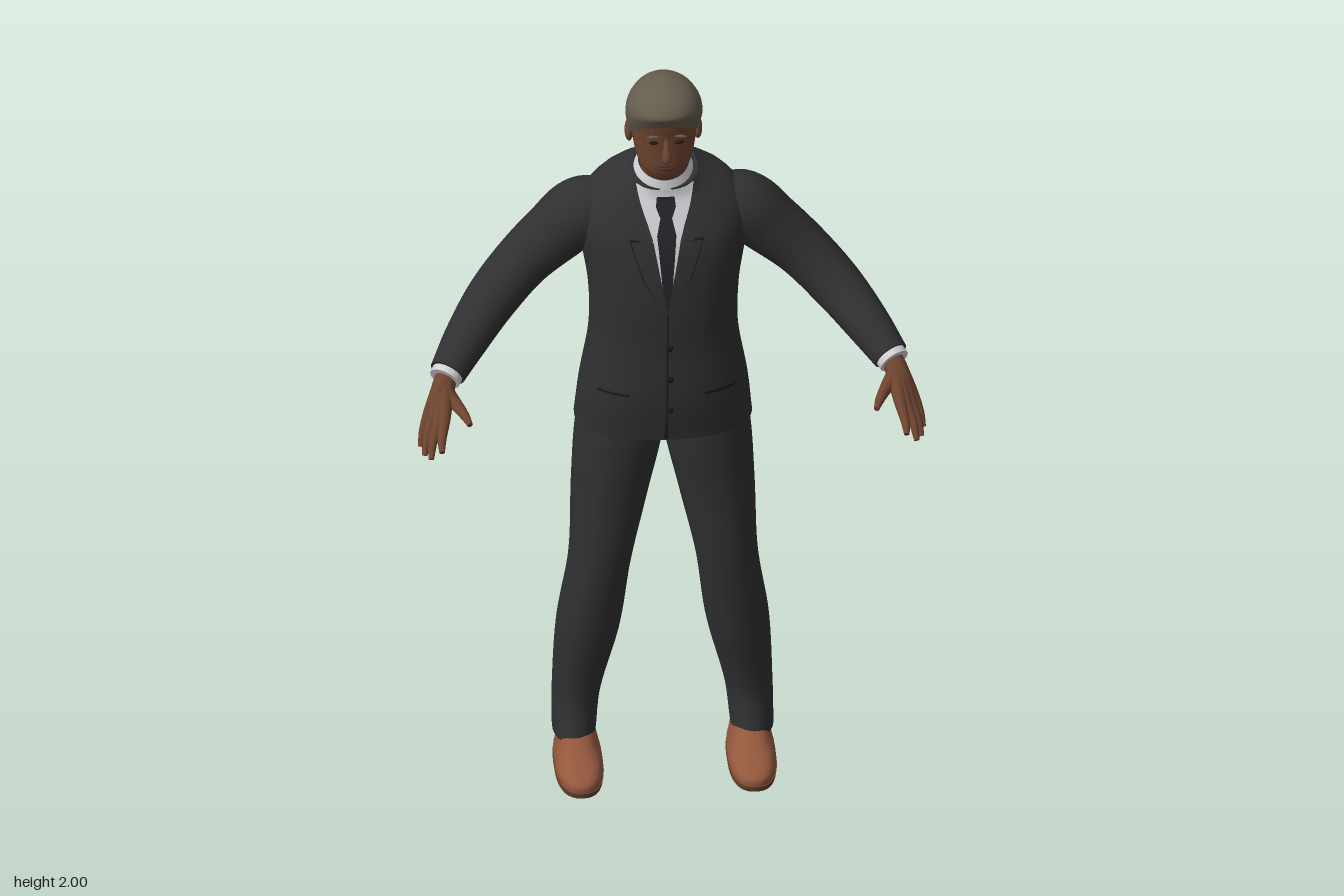
import * as THREE from 'three';

const mat = (name, color, side = THREE.FrontSide) => {
  const m = new THREE.MeshStandardMaterial({ color, side });
  m.name = name;
  return m;
};

// Smooth key interpolation: the first number of each key is the parameter
function sample(keys, t) {
  const n = keys.length;
  t = Math.min(Math.max(t, keys[0][0]), keys[n - 1][0]);
  let i = 0;
  while (i < n - 2 && t > keys[i + 1][0]) i++;
  const h = keys[i + 1][0] - keys[i][0], s = (t - keys[i][0]) / h;
  const slope = (k, c) => {
    const a = keys[Math.max(k - 1, 0)], b = keys[Math.min(k + 1, n - 1)];
    return (b[c] - a[c]) / (b[0] - a[0]);
  };
  return keys[i].map((v, c) => c === 0 ? t :
    v * (1 + 2 * s) * (1 - s) ** 2 + slope(i, c) * h * s * (1 - s) ** 2 +
    keys[i + 1][c] * s * s * (3 - 2 * s) + slope(i + 1, c) * h * s * s * (s - 1));
}

// Skin a list of equal rings, cap the ends, and turn the faces outward
function skin(rings, caps = true) {
  const n = rings[0].length, pts = rings.flat(), idx = [];
  for (let r = 0; r < rings.length - 1; r++) for (let j = 0; j < n; j++) {
    const a = r * n + j, b = r * n + (j + 1) % n;
    idx.push(a, b, a + n, b, b + n, a + n);
  }
  if (caps) [rings[0], rings[rings.length - 1]].forEach((ring, end) => {
    const s = pts.length, c = new THREE.Vector3();
    ring.forEach(p => c.addScaledVector(p, 1 / n));
    pts.push(...ring, c);
    for (let j = 0; j < n; j++) {
      const a = s + j, b = s + (j + 1) % n;
      idx.push(...(end ? [a, b, s + n] : [b, a, s + n]));
    }
  });
  let vol = 0;
  const cr = new THREE.Vector3();
  for (let i = 0; i < idx.length; i += 3) vol += pts[idx[i]].dot(cr.crossVectors(pts[idx[i + 1]], pts[idx[i + 2]]));
  if (vol < 0) idx.reverse();
  const g = new THREE.BufferGeometry().setFromPoints(pts);
  g.setIndex(idx);
  g.computeVertexNormals();
  return g;
}

// Upright loft, keys: [height, half width, half depth, centre z, tilt, centre x]
function loft(keys, { power = 2, steps = 28, sides = 36, sx = 1, caps = true } = {}) {
  const rings = [], lo = keys[0][0], hi = keys[keys.length - 1][0];
  for (let i = 0; i <= steps; i++) {
    const [y, w, d, cz, tilt = 0, cx = 0] = sample(keys, lo + (hi - lo) * i / steps);
    rings.push(Array.from({ length: sides }, (_, j) => {
      const a = j / sides * Math.PI * 2, c = Math.cos(a), s = Math.sin(a);
      const z = Math.sign(s) * Math.abs(s) ** (2 / power) * d;
      return new THREE.Vector3(sx * cx + Math.sign(c) * Math.abs(c) ** (2 / power) * w, y - tilt * z, cz + z);
    }));
  }
  return skin(rings, caps);
}

// Round limb along a curve, keys: [x, y, z, radius]
function limb(keys, sx = 1, sides = 20, per = 6) {
  const curve = new THREE.CatmullRomCurve3(keys.map(k => new THREE.Vector3(k[0] * sx, k[1], k[2])));
  const steps = (keys.length - 1) * per, radii = keys.map((k, i) => [i, k[3]]), rings = [];
  const up = new THREE.Vector3(0.3, 0.2, 1);
  for (let i = 0; i <= steps; i++) {
    const p = curve.getPoint(i / steps), t = curve.getTangent(i / steps);
    const u = new THREE.Vector3().crossVectors(t, up).normalize();
    const v = new THREE.Vector3().crossVectors(t, u);
    const r = sample(radii, i / per)[1];
    rings.push(Array.from({ length: sides }, (_, j) => {
      const a = j / sides * Math.PI * 2;
      return p.clone().addScaledVector(u, r * Math.cos(a)).addScaledVector(v, r * Math.sin(a));
    }));
  }
  return skin(rings);
}

const TORSO = [
  [1.005, .222, .146, -.12, 0], [1.12, .21, .148, -.108, 0], [1.27, .186, .144, -.106, 0],
  [1.4, .188, .147, -.108, 0], [1.5, .203, .146, -.115, .03], [1.58, .212, .134, -.118, .1],
  [1.64, .2, .115, -.122, .2], [1.685, .16, .095, -.12, .32], [1.71, .115, .079, -.113, .4], [1.73, .085, .067, -.102, .42],
];

// Thin cloth piece lying on the torso, rows: [height, x from, x to]
function patch(rows, off, face = 1) {
  const pos = [], idx = [], cols = 8, per = 5, count = (rows.length - 1) * per;
  for (let i = 0; i <= count; i++) {
    const k = Math.min(Math.floor(i / per), rows.length - 2), f = i / per - k;
    const [t, a, b] = rows[k].map((v, c) => v + (rows[k + 1][c] - v) * f);
    const [, w, d, cz, tilt] = sample(TORSO, t);
    for (let j = 0; j <= cols; j++) {
      const x = Math.min(a, b) + Math.abs(b - a) * j / cols;
      const z = face * d * Math.max(0, 1 - Math.abs(x / w) ** 2.3) ** (1 / 2.3);
      pos.push(x, t - tilt * z, cz + z + face * off);
      if (i < count && j < cols) {
        const p = i * (cols + 1) + j, q = p + cols + 1;
        idx.push(...(face > 0 ? [p, p + 1, q, p + 1, q + 1, q] : [p, q, p + 1, p + 1, q, q + 1]));
      }
    }
  }
  const g = new THREE.BufferGeometry();
  g.setAttribute('position', new THREE.Float32BufferAttribute(pos, 3));
  g.setIndex(idx);
  g.computeVertexNormals();
  return g;
}

export function createModel() {
  const model = new THREE.Group();
  const D = THREE.DoubleSide;
  const suit = mat('charcoal suit', 0x303032, D), seam = mat('dark seam', 0x1a1a1c, D);
  const shirt = mat('pale shirt', 0xd2d2d6, D), tieCloth = mat('tie cloth', 0x242429, D);
  const skinTone = mat('brown skin', 0x6e442f), lipTone = mat('lip brown', 0x55302a);
  const hairTone = mat('grey brown hair', 0x655c4d), eyeTone = mat('dark eye', 0x241a17);
  const leather = mat('tan leather', 0x94583d), soleTone = mat('sole brown', 0x67402e);
  const add = (name, geo, material) => {
    const m = new THREE.Mesh(geo, material);
    m.name = name;
    model.add(m);
    return m;
  };
  const blob = (name, material, p, s) => {
    const m = add(name, new THREE.SphereGeometry(1, 18, 12), material);
    m.position.set(...p);
    m.scale.set(...s);
    return m;
  };

  // Jacket, shirt front and tie
  add('jacket', loft(TORSO, { power: 2.3, steps: 48, sides: 56 }), suit);
  add('shirtFront', patch([[1.39, 0, 0], [1.6, -.038, .038], [1.69, -.062, .062], [1.728, -.072, .072]], .003), shirt);
  add('tie', patch([[1.39, -.002, .002], [1.45, -.012, .012], [1.61, -.024, .024], [1.66, -.014, .014]], .006), tieCloth);
  add('tieKnot', patch([[1.655, -.013, .013], [1.69, -.025, .025], [1.715, -.022, .022]], .01), tieCloth);
  add('frontSeam', patch([[1.01, -.008, .002], [1.06, -.003, .001], [1.39, -.002, .002]], .003), seam);
  add('backVent', patch([[1.006, -.006, .006], [1.18, -.002, .002]], .003, -1), seam);
  for (const y of [1.1, 1.19, 1.28]) blob('button', seam, [.006, y, sample(TORSO, y)[2] + sample(TORSO, y)[3] + .002], [.009, .009, .004]);

  // Shirt collar and neck
  add('shirtCollar', loft([[1.705, .083, .07, -.1, .48], [1.73, .074, .066, -.1, .48], [1.752, .064, .061, -.098, .45]], { steps: 8, caps: false }), shirt);
  add('neck', loft([[1.66, .058, .056, -.105], [1.74, .056, .056, -.1], [1.82, .06, .06, -.1]], { steps: 8 }), skinTone);

  // Head and face
  add('head', loft([
    [1.732, .024, .024, -.05], [1.742, .044, .04, -.056], [1.775, .065, .064, -.068], [1.82, .077, .084, -.084],
    [1.87, .082, .094, -.089], [1.92, .083, .1, -.088], [1.96, .066, .08, -.086], [1.975, .04, .05, -.085],
  ], { power: 2.15 }), skinTone);
  add('nose', limb([[0, 1.87, -.002, .006], [0, 1.842, .008, .009], [0, 1.818, .017, .012], [0, 1.808, .008, .009]], 1, 12), skinTone);
  blob('upperLip', lipTone, [0, 1.789, -.004, 0].slice(0, 3), [.024, .005, .007]);
  blob('lowerLip', lipTone, [0, 1.78, -.005], [.02, .006, .008]);
  add('hair', loft([
    [1.84, .084, .099, -.092, -.58], [1.87, .092, .108, -.086, -.5], [1.905, .096, .112, -.082, -.32], [1.94, .09, .104, -.082, -.16],
    [1.97, .071, .083, -.082, -.06], [1.988, .047, .054, -.082, 0], [1.997, .022, .026, -.082, 0], [2, .002, .002, -.082, 0],
  ], { steps: 40 }), hairTone);

  const trouserKeys = [
    [.09, .054, .096, -.126, 0, .222], [.2, .06, .088, -.142, 0, .215], [.4, .079, .105, -.126, 0, .186], [.6, .078, .108, -.109, 0, .158],
    [.8, .097, .121, -.122, 0, .132], [.97, .11, .13, -.125, 0, .109], [1.08, .1, .12, -.12, 0, .1],
  ];
  const knuckles = [
    [[.569, 1.19, .19, .0155], [.578, 1.162, .235, .0115], [.58, 1.142, .266, .007]],
    [[.583, 1.185, .181, .016], [.6, 1.145, .222, .0115], [.606, 1.115, .252, .007]],
    [[.596, 1.183, .166, .0155], [.613, 1.14, .197, .011], [.62, 1.107, .22, .007]],
    [[.605, 1.185, .147, .014], [.621, 1.145, .168, .01], [.628, 1.112, .184, .006]],
    [[.54, 1.215, .15, .017], [.518, 1.204, .196, .012], [.507, 1.196, .228, .007]],
  ];

  for (const s of [1, -1]) {
    const side = s > 0 ? 'left' : 'right';

    // Face details
    blob(side + 'Ear', skinTone, [s * .086, 1.838, -.102], [.011, .031, .019]);
    blob(side + 'Eye', eyeTone, [s * .031, 1.858, -.001], [.013, .005, .005]);
    blob(side + 'Brow', hairTone, [s * .032, 1.876, .001], [.019, .004, .005]).rotation.z = -s * .1;

    // Lapel, collar and pocket
    add(side + 'Lapel', patch([[1.385, 0, s * .006], [1.48, s * .016, s * .058], [1.595, s * .034, s * .09]], .008), suit);
    add(side + 'JacketCollar', patch([[1.595, s * .034, s * .072], [1.64, s * .046, s * .092], [1.69, s * .061, s * .098], [1.725, s * .071, s * .086]], .007), suit);
    add(side + 'LapelEdge', patch([[1.39, s * .007, s * .009], [1.48, s * .056, s * .061], [1.595, s * .088, s * .093]], .0065), seam);
    add(side + 'LapelNotch', patch([[1.593, s * .06, s * .092], [1.599, s * .072, s * .092]], .009), seam);
    add(side + 'PocketFlap', patch([[1.1, s * .095, s * .17], [1.14, s * .095, s * .17]], .006), suit);
    add(side + 'PocketSeam', patch([[1.14, s * .093, s * .172], [1.147, s * .093, s * .172]], .007), seam);

    // Sleeve, cuff and hand
    add(side + 'Sleeve', limb([[.13, 1.6, -.135, .07], [.2, 1.583, -.14, .087], [.27, 1.525, -.138, .08], [.35, 1.455, -.122, .071],
      [.43, 1.378, -.075, .066], [.5, 1.315, .01, .057], [.553, 1.264, .087, .046]], s, 28), suit);
    add(side + 'Cuff', limb([[.545, 1.271, .075, .041], [.561, 1.255, .1, .04]], s), shirt);
    knuckles.forEach((keys, i) => add(side + (i < 4 ? 'Finger' : 'Thumb'),
      limb([[.556, 1.26, .092, .027], [.562 + .004 * (i % 4), 1.235, .122, .024], ...keys], s, 12), skinTone));

    // Trouser leg
    add(side + 'TrouserLeg', loft(trouserKeys, { sx: s, power: 2.2, steps: 40 }), suit);

    // Shoe with sole and heel
    const o = { sx: s, power: 2.5, steps: 14 };
    add(side + 'Shoe', loft([[.018, .059, .152, -.06, 0, .216], [.04, .06, .151, -.06, 0, .216], [.055, .056, .138, -.07, 0, .216],
      [.075, .051, .108, -.098, 0, .217], [.12, .043, .076, -.128, 0, .219]], o), leather);
    add(side + 'Sole', loft([[.008, .06, .153, -.06, 0, .216], [.022, .062, .156, -.06, 0, .216]], o), soleTone);
    add(side + 'Heel', loft([[0, .052, .056, -.156, 0, .216], [.018, .054, .058, -.156, 0, .216]], o), soleTone);
  }
  return model;
}
